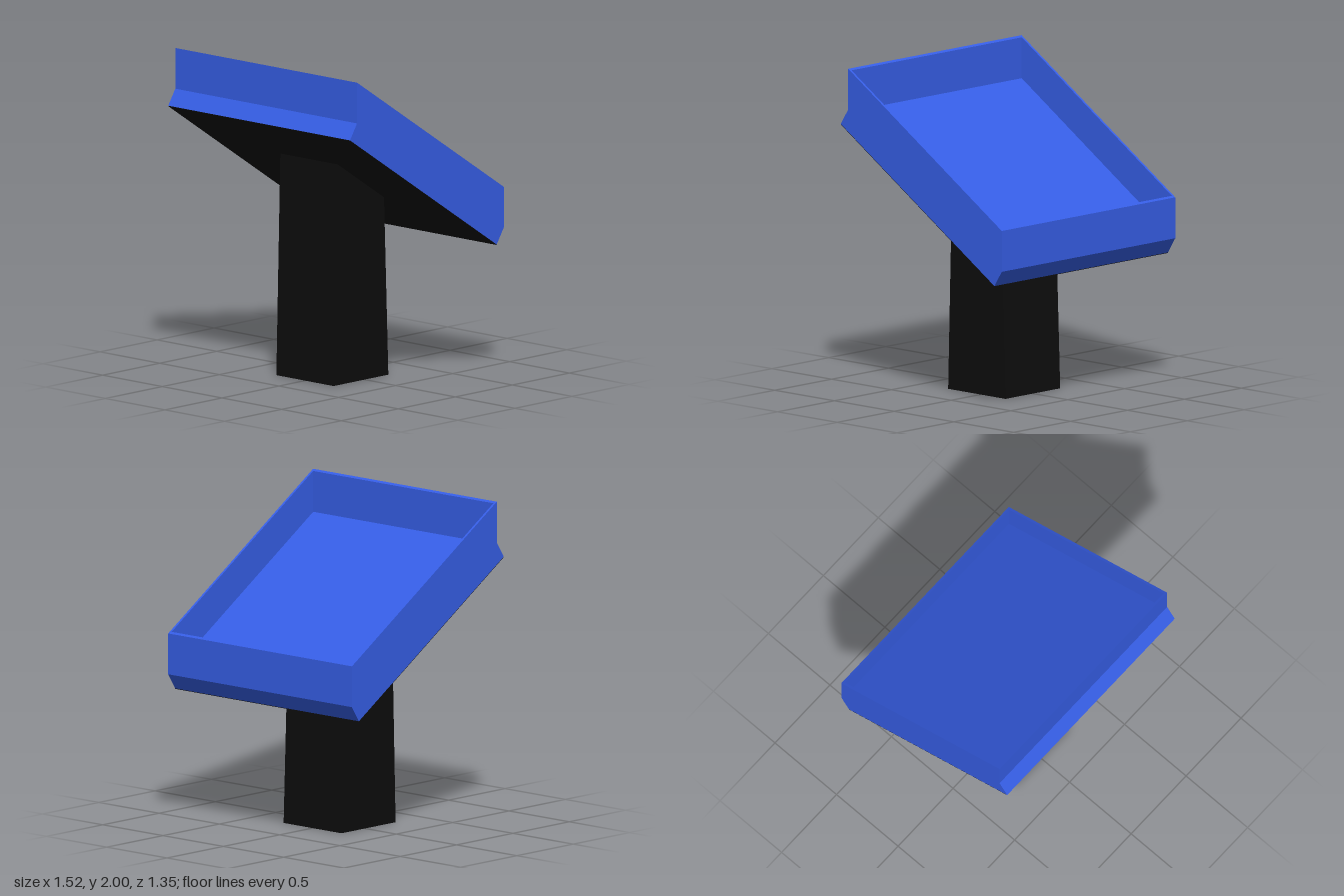
import * as THREE from 'three';

const HALF = 0.762; // half width of the tray
const WALL = 0.015; // wall thickness
const blue = new THREE.MeshStandardMaterial({ color: 0x365ee6 });
const black = new THREE.MeshStandardMaterial({ color: 0x0d0d0d });

// Extrudes a side profile of [z, y] points across x, centred on x.
function slab(name, points, width, x, material) {
  const shape = new THREE.Shape(points.map(([z, y]) => new THREE.Vector2(z, y)));
  const geometry = new THREE.ExtrudeGeometry(shape, { depth: width, bevelEnabled: false });
  geometry.translate(0, 0, -width / 2);
  geometry.rotateY(-Math.PI / 2);
  const mesh = new THREE.Mesh(geometry, material);
  mesh.name = name;
  mesh.position.x = x;
  return mesh;
}

// Heights of the sloping rim, floor and underside at a given z.
const SLOPE = 0.648;
const rim = (z) => 2 + (z - 0.612) * SLOPE;
const floor = (z) => 1.748 + (z - 0.612) * SLOPE;
const under = (z) => 1.652 + (z - 0.674) * SLOPE;

export function createModel() {
  const model = new THREE.Group();
  const tray = new THREE.Group();
  tray.name = 'tray';
  model.add(tray);

  const front = 0.612, back = -0.674;
  const inner = 2 * (HALF - WALL);

  // Tilted base of the tray, with square-cut ends
  tray.add(slab('trayBase', [
    [0.674, under(0.674)], [front, floor(front)], [back, floor(back)], [-0.612, under(-0.612)],
  ], 2 * HALF, 0, blue));

  // Upright side walls
  for (const [name, side] of [['leftWall', 1], ['rightWall', -1]]) {
    tray.add(slab(name, [
      [front, floor(front)], [front, rim(front)], [back, rim(back)], [back, floor(back)],
    ], WALL, side * (HALF - WALL / 2), blue));
  }

  // Upright front and back walls
  for (const [name, a, b] of [['frontWall', front - WALL, front], ['backWall', back, back + WALL]]) {
    tray.add(slab(name, [
      [a, floor(a)], [b, floor(b)], [b, rim(b)], [a, rim(a)],
    ], inner, 0, blue));
  }

  // Dark panel covering the underside
  tray.add(slab('undersidePanel', [
    [0.673, under(0.673)], [-0.612, under(-0.612)],
    [-0.612, under(-0.612) - 0.003], [0.673, under(0.673) - 0.003],
  ], 2 * HALF, 0, black));

  // Pedestal, tapering in depth and cut to the slope of the tray
  model.add(slab('pedestal', [
    [-0.208, 0], [0.272, 0], [0.237, under(0.237)], [-0.17, under(-0.17)],
  ], 0.48, 0, black));

  return model;
}
